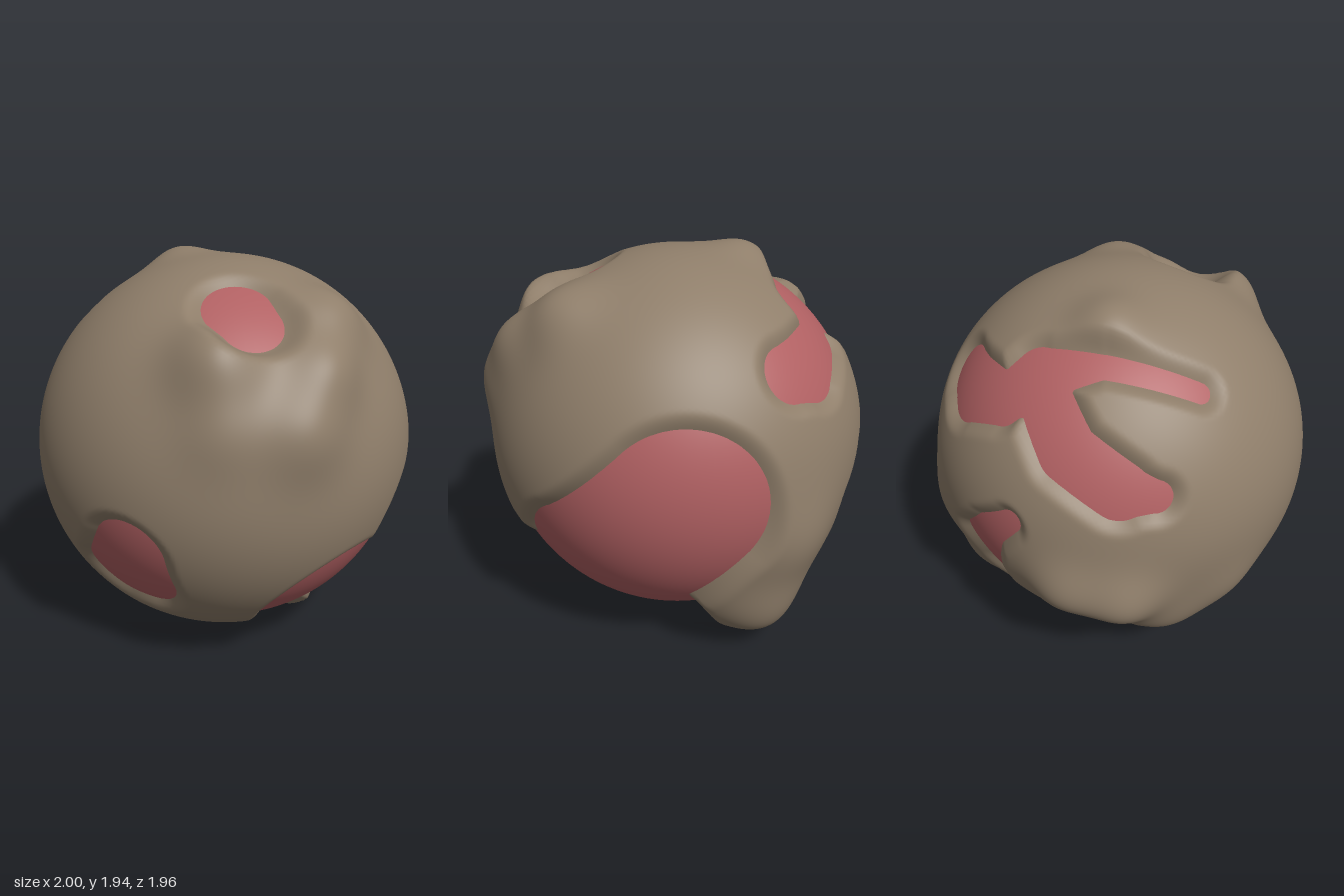
import * as THREE from 'three';
import { mergeVertices } from 'three/addons/utils/BufferGeometryUtils.js';

const CENTRE = new THREE.Vector3(0.035, 0.965, 0.01);
const LAND = 0.965, SEA = 0.925;

// A brush stroke on the globe, painted from a direction (azimuth, elevation in
// degrees) with the globe's middle at (ox, oy). Each dab is [across, up, radius].
function stroke(az, el, ox, oy, dabs) {
  const a = THREE.MathUtils.degToRad(az), e = THREE.MathUtils.degToRad(el);
  const right = new THREE.Vector3(Math.cos(a), 0, -Math.sin(a));
  const out = new THREE.Vector3(Math.sin(a) * Math.cos(e), Math.sin(e), Math.cos(a) * Math.cos(e));
  const up = out.clone().cross(right);
  return dabs.map(([u, v, radius]) => {
    const s = u - ox, t = v - oy;
    const point = new THREE.Vector3().addScaledVector(right, s).addScaledVector(up, t)
      .addScaledVector(out, Math.sqrt(Math.max(0, SEA * SEA - s * s - t * t)));
    return { point, radius };
  });
}

// Signed distance from a point on the globe to a stroke, negative inside
function distance(dabs, p) {
  let best = Infinity;
  for (let i = 1; i < dabs.length; i++) {
    const a = dabs[i - 1], b = dabs[i];
    const ab = b.point.clone().sub(a.point);
    const t = THREE.MathUtils.clamp(p.clone().sub(a.point).dot(ab) / ab.lengthSq(), 0, 1);
    const nearest = ab.multiplyScalar(t).add(a.point).setLength(SEA);
    best = Math.min(best, p.distanceTo(nearest) - THREE.MathUtils.lerp(a.radius, b.radius, t));
  }
  return best;
}

// Front bay
const bay = stroke(0, 0, 0.035, 0.965, [[-0.02, 0.5, 0.17], [0.14, 0.68, 0.19], [0.14, 0.5, 0.18],
  [0, 0.5, 0.18]]);
// Small upper lake
const lake = stroke(0, 90, 0.035, -0.01, [[0.37, -0.35, 0.17], [0.46, -0.37, 0.15]]);
// Great sea on the left and back, with a narrow island
const greatSea = stroke(140, -28, 0, 0, [[0.14, 0.43, 0.4], [-0.28, 0, 0.42],
  [-0.05, -0.58, 0.27], [-0.58, -0.37, 0.34]]);
const island = stroke(90, 0, -0.01, 0.965, [[-0.13, 0.28, 0.03], [-0.05, 0.16, 0.04]]);
// Sea over the top and its western arm
const topSea = stroke(0, 90, 0.035, -0.01, [[-0.08, 0.74, 0.14], [-0.22, 0.71, 0.17],
  [-0.42, 0.55, 0.12], [-0.41, 0.4, 0.14], [-0.47, 0.1, 0.06], [-0.54, -0.32, 0.05]]);
const topArm = stroke(0, 90, 0.035, -0.01, [[-0.42, 0.4, 0.12], [-0.56, 0.35, 0.13],
  [-0.7, 0.28, 0.14], [-0.82, 0.06, 0.14], [-0.83, -0.1, 0.08]]);
// Crescent sea low at the back
const crescent = stroke(217, 28, 0, 0, [[0.24, -0.34, 0.06], [0.1, -0.47, 0.09],
  [-0.02, -0.62, 0.13], [0, -0.78, 0.13], [0.2, -0.82, 0.09], [0.5, -0.76, 0.05]]);
const seas = [bay, lake, greatSea, topSea, topArm, crescent];

// Mountains: direction, height, angular width
const mountains = [
  [0.47, 0.7, 0.68, 0.12, 0.2], [0.68, 0.8, 0.03, 0.09, 0.2], [0.83, 0.62, 0.3, 0.09, 0.18],
  [0.88, 0.38, 0.52, 0.08, 0.2], [0.6, 0.4, 0.82, 0.04, 0.18], [-0.37, 0.94, -0.08, 0.07, 0.17],
  [-1.03, -0.3, -0.06, 0.1, 0.18], [-0.95, -0.25, -0.36, 0.08, 0.18],
  [-0.82, -0.6, 0.18, 0.07, 0.22], [-0.76, -0.42, 0.48, 0.04, 0.2],
  [0, -0.77, -0.8, 0.18, 0.26], [-0.08, -0.3, -0.97, 0.06, 0.25],
].map(([x, y, z, height, width]) => ({ dir: new THREE.Vector3(x, y, z).normalize(), height, width }));

function landRadius(dir) {
  const p = dir.clone().multiplyScalar(SEA);
  const water = Math.min(...seas.map((sea) => distance(sea, p)));
  const shore = Math.max(water, -distance(island, p));
  let r = THREE.MathUtils.lerp(0.885, LAND, THREE.MathUtils.smoothstep(shore, -0.07, 0.07));
  const inland = THREE.MathUtils.smoothstep(shore, 0, 0.09);
  for (const m of mountains) {
    const angle = dir.angleTo(m.dir) / m.width;
    r += inland * m.height * Math.exp(-angle * angle);
  }
  return r;
}

export function createModel() {
  const group = new THREE.Group();
  group.name = 'planet';

  // Land: fine sphere pushed in and out by the terrain rule
  let geo = new THREE.IcosahedronGeometry(1, 60);
  geo.deleteAttribute('normal');
  geo.deleteAttribute('uv');
  geo = mergeVertices(geo, 1e-5);
  const pos = geo.attributes.position, dir = new THREE.Vector3();
  for (let i = 0; i < pos.count; i++) {
    dir.fromBufferAttribute(pos, i).normalize();
    dir.multiplyScalar(landRadius(dir));
    pos.setXYZ(i, dir.x, dir.y, dir.z);
  }
  geo.computeVertexNormals();
  const land = new THREE.Mesh(geo, new THREE.MeshStandardMaterial({ color: 0x8f7e6a }));
  land.name = 'land';

  // Ocean: plain sphere showing through the basins
  const ocean = new THREE.Mesh(new THREE.SphereGeometry(SEA, 96, 64),
    new THREE.MeshStandardMaterial({ color: 0xb06062 }));
  ocean.name = 'ocean';

  for (const mesh of [land, ocean]) {
    mesh.position.copy(CENTRE);
    group.add(mesh);
  }
  return group;
}
